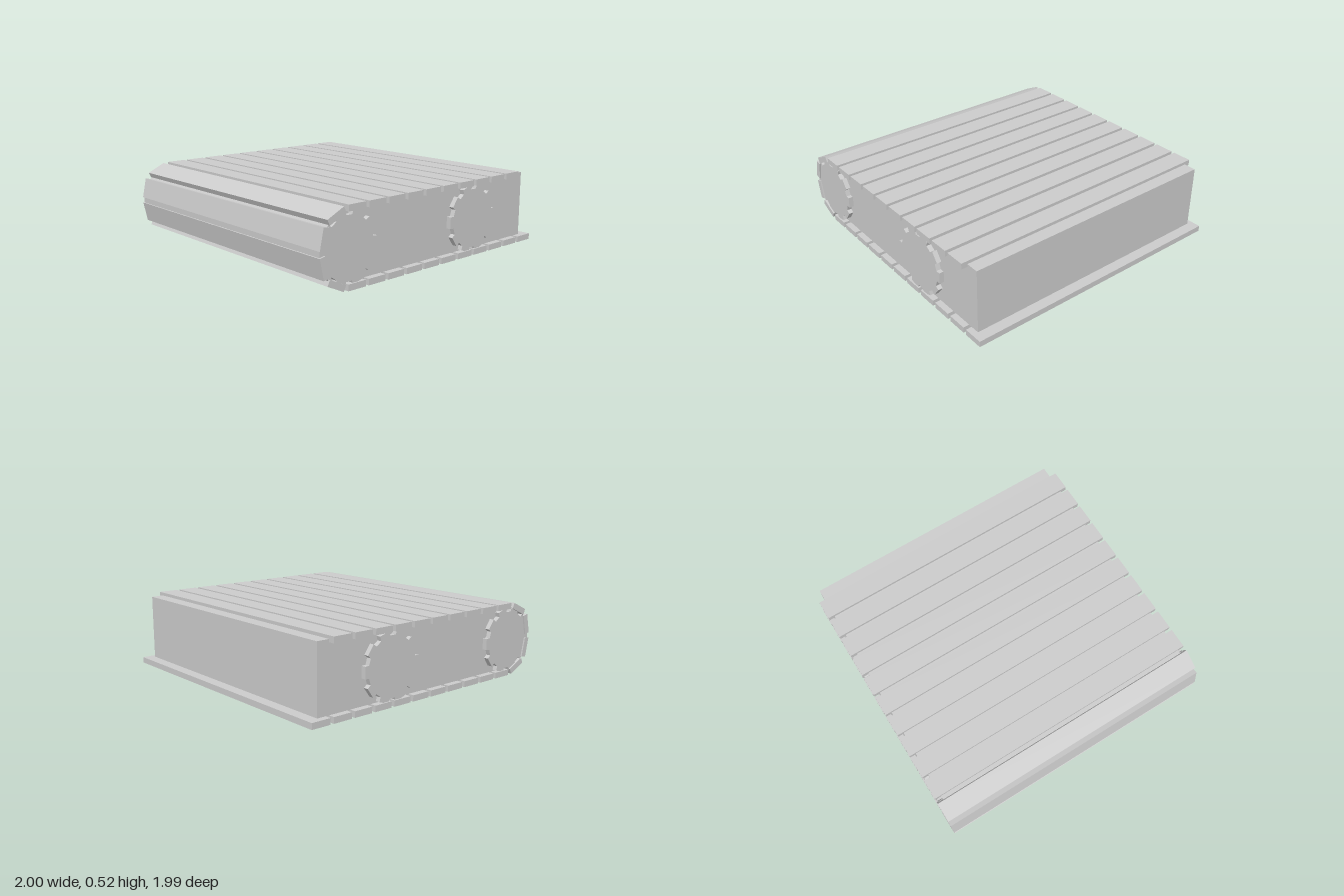
import * as THREE from 'three';

const material = new THREE.MeshStandardMaterial({ color: 0xcccccc, flatShading: true });

// Extrude an XY outline, centred on z
function slab(points, depth, name) {
  const shape = new THREE.Shape(points.map(([x, y]) => new THREE.Vector2(x, y)));
  const geometry = new THREE.ExtrudeGeometry(shape, { depth, bevelEnabled: false });
  geometry.translate(0, 0, -depth / 2);
  const mesh = new THREE.Mesh(geometry, material);
  mesh.name = name;
  return mesh;
}

// Toothed wheel outline: wide teeth with narrow notches between them
function gearOutline(teeth, outer, root) {
  const points = [];
  const step = (Math.PI * 2) / teeth;
  for (let i = 0; i < teeth; i++) {
    for (const [offset, r] of [[-0.32, root], [-0.27, outer], [0.27, outer], [0.32, root]]) {
      const a = (i + offset) * step;
      points.push([Math.cos(a) * r, Math.sin(a) * r]);
    }
  }
  return points;
}

export function createModel() {
  const model = new THREE.Group();
  model.name = 'trackUnit';

  // Core block with a tapered, rounded left end
  model.add(slab([
    [0.925, 0.04], [0.925, 0.495], [-0.81, 0.495], [-0.92, 0.43], [-0.965, 0.345],
    [-0.965, 0.175], [-0.92, 0.09], [-0.81, 0.03],
  ], 1.904, 'body'));

  // Two toothed wheels running through the full width
  for (const [x, name] of [[-0.77, 'endWheel'], [0.355, 'middleWheel']]) {
    const wheel = slab(gearOutline(10, 0.23, 0.2), 1.97, name);
    wheel.position.set(x, 0.255, 0);
    model.add(wheel);
  }

  // Track slats
  const slatGeometry = new THREE.BoxGeometry(0.139, 0.041, 1.99);
  const addSlat = (x, y, angle, name) => {
    const slat = new THREE.Mesh(slatGeometry, material);
    slat.position.set(x, y, 0);
    slat.rotation.z = angle;
    slat.name = name;
    model.add(slat);
  };
  for (let i = 0; i < 11; i++) {
    const x = -0.714 + i * 0.1644;
    addSlat(x, 0.0205, 0, 'lowerSlat');
    if (i < 10) addSlat(x, 0.496, 0, 'upperSlat');
  }

  // Slats wrapping around the left end, mirrored top to bottom
  for (const side of [1, -1]) {
    addSlat(-0.874, 0.258 + side * 0.206, side * 0.44, 'endSlat');
    addSlat(-0.968, 0.258 + side * 0.084, side * 1.36, 'endSlat');
  }
  return model;
}
